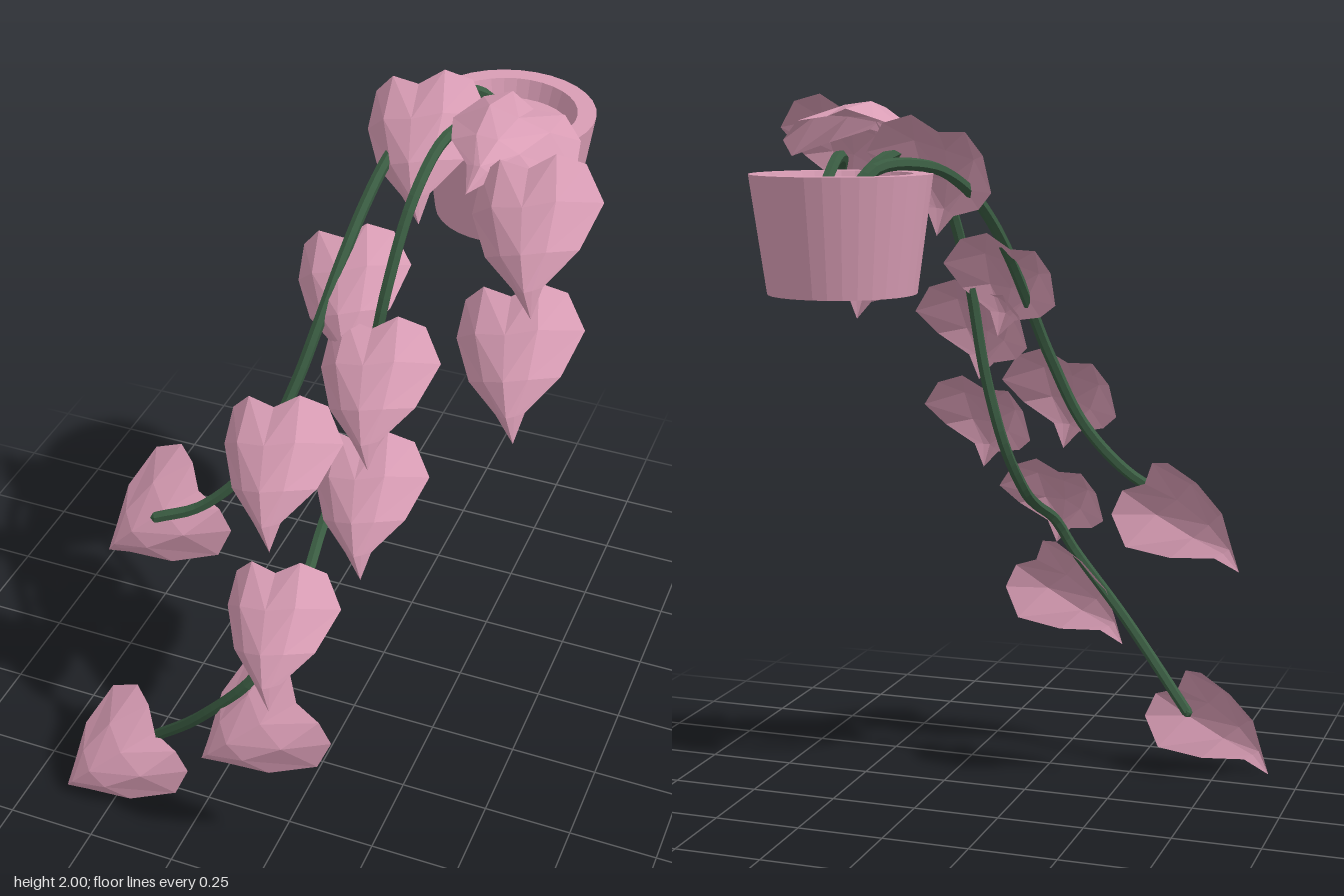
import * as THREE from 'three';

const pink = new THREE.MeshStandardMaterial({ color: 0xd99db5, flatShading: true, side: THREE.DoubleSide });
const green = new THREE.MeshStandardMaterial({ color: 0x3a5c42, flatShading: true });

const V = (p) => new THREE.Vector3(...p);
const LEAF_LENGTH = 0.37;

// Heart-shaped cupped leaf: base at the origin, tip along +y, upper face +z.
// Each row holds [half width, along, height] for the vein, middle and edge.
function leafGeometry() {
  const rows = [
    [[0, -0.005, 0.01], [0.075, -0.035, 0.01], [0.14, -0.01, -0.025]],
    [[0, 0.1, 0.055], [0.085, 0.09, 0.045], [0.176, 0.085, -0.05]],
    [[0, 0.22, 0.068], [0.06, 0.215, 0.05], [0.125, 0.205, -0.01]],
    [[0, 0.31, 0.047], [0.018, 0.305, 0.037], [0.04, 0.295, 0.02]],
    [[0, LEAF_LENGTH, 0], [0, LEAF_LENGTH, 0], [0, LEAF_LENGTH, 0]],
  ];
  const pos = [], index = [];
  rows.forEach(([c, m, e], r) => {
    const flip = ([x, y, z]) => [-x, y, z];
    pos.push(...flip(e), ...flip(m), ...c, ...m, ...e);
    if (r === rows.length - 1) return;
    for (let i = 0; i < 4; i++) {
      const a = r * 5 + i, b = a + 1, d = a + 5, f = a + 6;
      if (r === rows.length - 2) index.push(a, b, d);
      else if (i < 2) index.push(a, b, f, a, f, d);
      else index.push(a, b, d, b, f, d);
    }
  });
  const g = new THREE.BufferGeometry();
  g.setAttribute('position', new THREE.Float32BufferAttribute(pos, 3));
  g.setIndex(index);
  g.computeVertexNormals();
  return g;
}

// Places a leaf from its base to its tip, with its upper face toward "facing"
function addLeaf(group, geometry, base, tip, facing) {
  const b = V(base), along = V(tip).sub(b), length = along.length();
  along.normalize();
  const across = along.clone().cross(V(facing)).normalize();
  const up = across.clone().cross(along);
  const leaf = new THREE.Mesh(geometry, pink);
  leaf.name = 'leaf';
  leaf.quaternion.setFromRotationMatrix(new THREE.Matrix4().makeBasis(across, along, up));
  leaf.scale.setScalar(length / LEAF_LENGTH);
  leaf.position.copy(b);
  group.add(leaf);
}

export function createModel() {
  const model = new THREE.Group();
  model.name = 'trailingPlant';

  // Tapered pot with a thick rim and sunken soil
  const profile = [[0, 1.52], [0.187, 1.52], [0.228, 1.815], [0.179, 1.815], [0.163, 1.765], [0, 1.765]];
  const pot = new THREE.Mesh(
    new THREE.LatheGeometry(profile.map(([x, y]) => new THREE.Vector2(x, y)), 32), pink);
  pot.name = 'pot';
  pot.position.set(0.243, 0, -0.49);
  model.add(pot);

  // Vines arching over the rim and hanging forward
  const vines = [
    [[0.165, 1.77, -0.6], [0.13, 1.83, -0.53], [0.05, 1.83, -0.38], [0.01, 1.77, -0.22], [-0.01, 1.69, -0.1],
      [-0.03, 1.58, 0.01], [-0.055, 1.44, 0.11], [-0.09, 1.29, 0.19], [-0.17, 1.08, 0.28],
      [-0.31, 0.93, 0.33], [-0.43, 0.88, 0.36]],
    [[0.235, 1.77, -0.44], [0.2, 1.84, -0.34], [0.165, 1.86, -0.2], [0.14, 1.77, -0.05], [0.11, 1.55, 0.06],
      [0.07, 1.25, 0.1], [0.03, 1.05, 0.14], [0.01, 0.9, 0.26], [0.02, 0.82, 0.42], [0, 0.75, 0.55],
      [-0.04, 0.65, 0.61], [-0.2, 0.45, 0.61], [-0.42, 0.2, 0.52]],
    [[0.32, 1.77, -0.425], [0.325, 1.84, -0.33], [0.36, 1.84, -0.2], [0.42, 1.77, -0.09],
      [0.475, 1.66, 0], [0.49, 1.53, 0.09]],
  ];
  for (const points of vines) {
    const curve = new THREE.CatmullRomCurve3(points.map(V));
    const vine = new THREE.Group();
    vine.name = 'vine';
    vine.add(new THREE.Mesh(new THREE.TubeGeometry(curve, points.length * 5, 0.016, 6), green));
    // Rounded-off ends
    for (const t of [0, 1]) {
      const cap = new THREE.Mesh(new THREE.IcosahedronGeometry(0.016, 0), green);
      cap.position.copy(curve.getPoint(t));
      vine.add(cap);
    }
    model.add(vine);
  }

  // Leaves: base, tip, facing
  const hanging = [-0.17, 0.63, 0.75], upright = [-0.17, 0.33, 0.93], flat = [0.22, 1, 0];
  const leaves = [
    [[0.46, 1.955, 0.04], [0.545, 1.69, 0.255], hanging],
    [[0.45, 1.625, 0.09], [0.535, 1.36, 0.31], hanging],
    [[0.37, 1.94, -0.265], [0.32, 1.89, 0.09], flat],
    [[0.04, 1.905, -0.36], [0.125, 1.64, -0.13], hanging],
    [[-0.05, 1.595, -0.06], [0.05, 1.345, 0.15], hanging],
    [[0.095, 1.455, 0.11], [0.17, 1.195, 0.34], hanging],
    [[-0.115, 1.255, 0.26], [-0.04, 0.98, 0.49], hanging],
    [[0.115, 1.175, 0.22], [0.19, 0.92, 0.44], hanging],
    [[-0.025, 0.9, 0.48], [0.045, 0.645, 0.71], hanging],
    [[0.08, 0.6, 0.61], [-0.18, 0.35, 0.665], upright],
    [[-0.385, 0.255, 0.54], [-0.65, 0.005, 0.605], upright],
    [[-0.345, 0.925, 0.265], [-0.605, 0.685, 0.325], upright],
  ];
  const geometry = leafGeometry();
  for (const [base, tip, facing] of leaves) addLeaf(model, geometry, base, tip, facing);

  return model;
}
